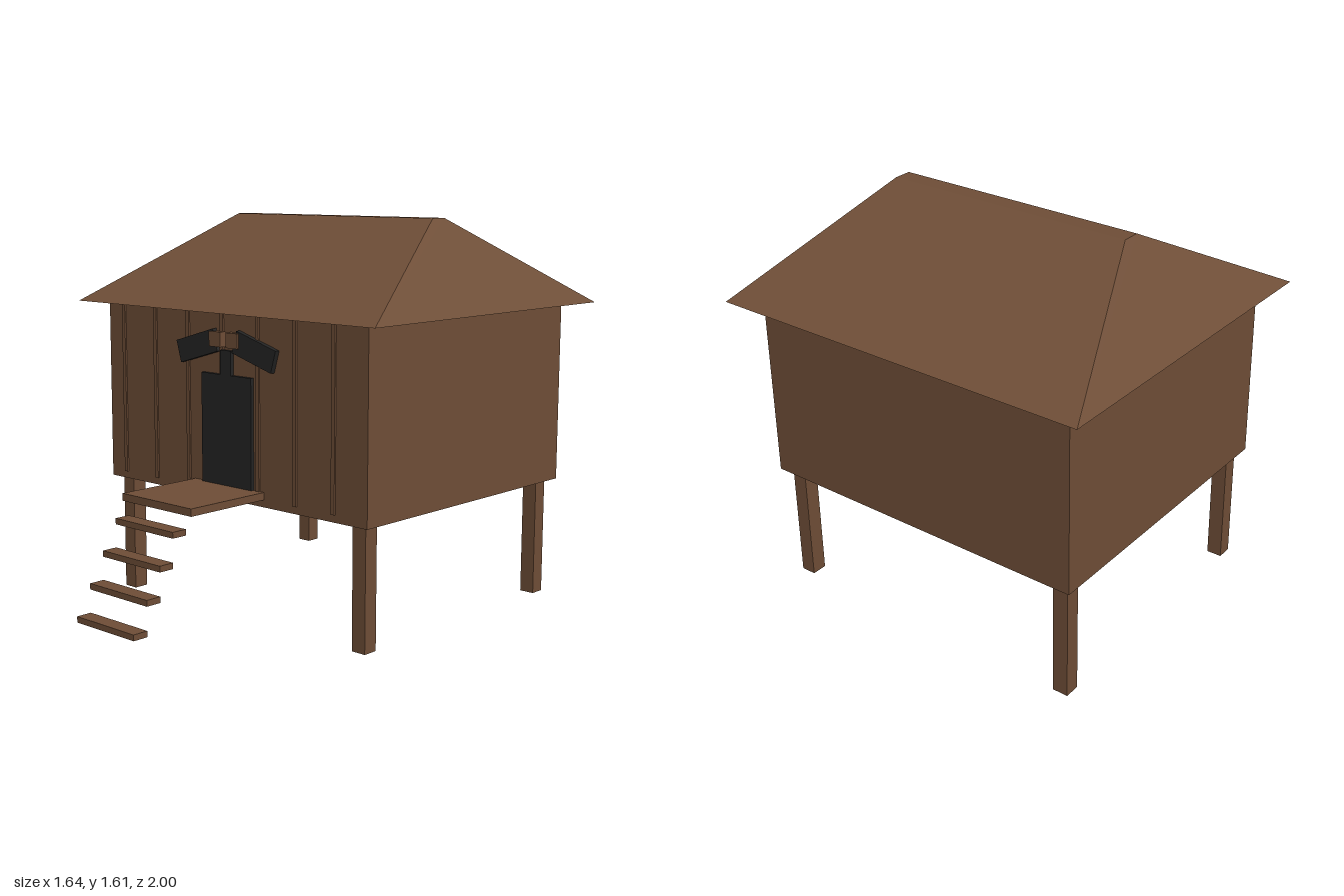
import * as THREE from 'three';

export function createModel() {
  const model = new THREE.Group();
  model.name = 'stiltHut';

  const wood = new THREE.MeshStandardMaterial({ color: 0x6f4e37 });
  wood.name = 'brown wood';
  const black = new THREE.MeshStandardMaterial({ color: 0x242424 });
  black.name = 'black paint';

  // Box given by its extents on each axis
  function box(name, material, [x0, x1], [y0, y1], [z0, z1]) {
    const mesh = new THREE.Mesh(new THREE.BoxGeometry(x1 - x0, y1 - y0, z1 - z0), material);
    mesh.position.set((x0 + x1) / 2, (y0 + y1) / 2, (z0 + z1) / 2);
    mesh.name = name;
    model.add(mesh);
    return mesh;
  }

  // Cabin
  box('cabin', wood, [-0.72, 0.72], [0.495, 1.25], [-0.9, 0.35]);

  // Hipped roof: a box whose top is drawn in to a narrow flat ridge
  const roofGeometry = new THREE.BoxGeometry(1.64, 0.36, 1.436).toNonIndexed();
  const p = roofGeometry.attributes.position;
  for (let i = 0; i < p.count; i++) {
    if (p.getY(i) > 0) {
      p.setX(i, Math.sign(p.getX(i)) * 0.54);
      p.setZ(i, Math.sign(p.getZ(i)) * 0.037);
    }
  }
  roofGeometry.computeVertexNormals();
  const roof = new THREE.Mesh(roofGeometry, wood);
  roof.position.set(0, 1.43, -0.282);
  roof.name = 'roof';
  model.add(roof);

  // Stilts
  for (const x of [-0.657, 0.652]) {
    for (const z of [0.283, -0.833]) {
      box('stilt', wood, [x - 0.032, x + 0.032], [0, 0.495], [z - 0.032, z + 0.032]);
    }
  }

  // Vertical battens on the front wall
  for (let i = 0; i < 7; i++) {
    const x = -0.625 + i * 0.1967;
    box('batten', wood, [x - 0.009, x + 0.009], [0.525, 1.25], [0.345, 0.357]);
  }

  // Door with the narrow post above it
  box('door', black, [-0.141, 0.137], [0.555, 1.0], [0.345, 0.365]);
  box('doorPost', black, [-0.031, 0.028], [1.0, 1.098], [0.345, 0.367]);

  // Tilted plates and their small brackets, mirrored about the door's middle
  for (const side of [-1, 1]) {
    const plate = box('tiltedPlate', black, [-0.11, 0.11], [-0.046, 0.046], [0.347, 0.371]);
    plate.position.x = -0.002 + side * 0.159;
    plate.position.y = 1.105;
    plate.rotation.z = -side * 0.285;
    const x = -0.002 + side * 0.048;
    box('bracket', wood, [x - 0.032, x + 0.032], [1.11, 1.17], [0.347, 0.379]);
  }

  // Landing and the floating steps below it
  box('landing', wood, [-0.198, 0.193], [0.525, 0.555], [0.345, 0.738]);
  for (let i = 0; i < 4; i++) {
    const y = 0.112 + i * 0.116;
    const z = 1 - i * 0.066;
    box('step', wood, [-0.166, 0.161], [y - 0.012, y + 0.012], [z - 0.066, z]);
  }

  return model;
}
